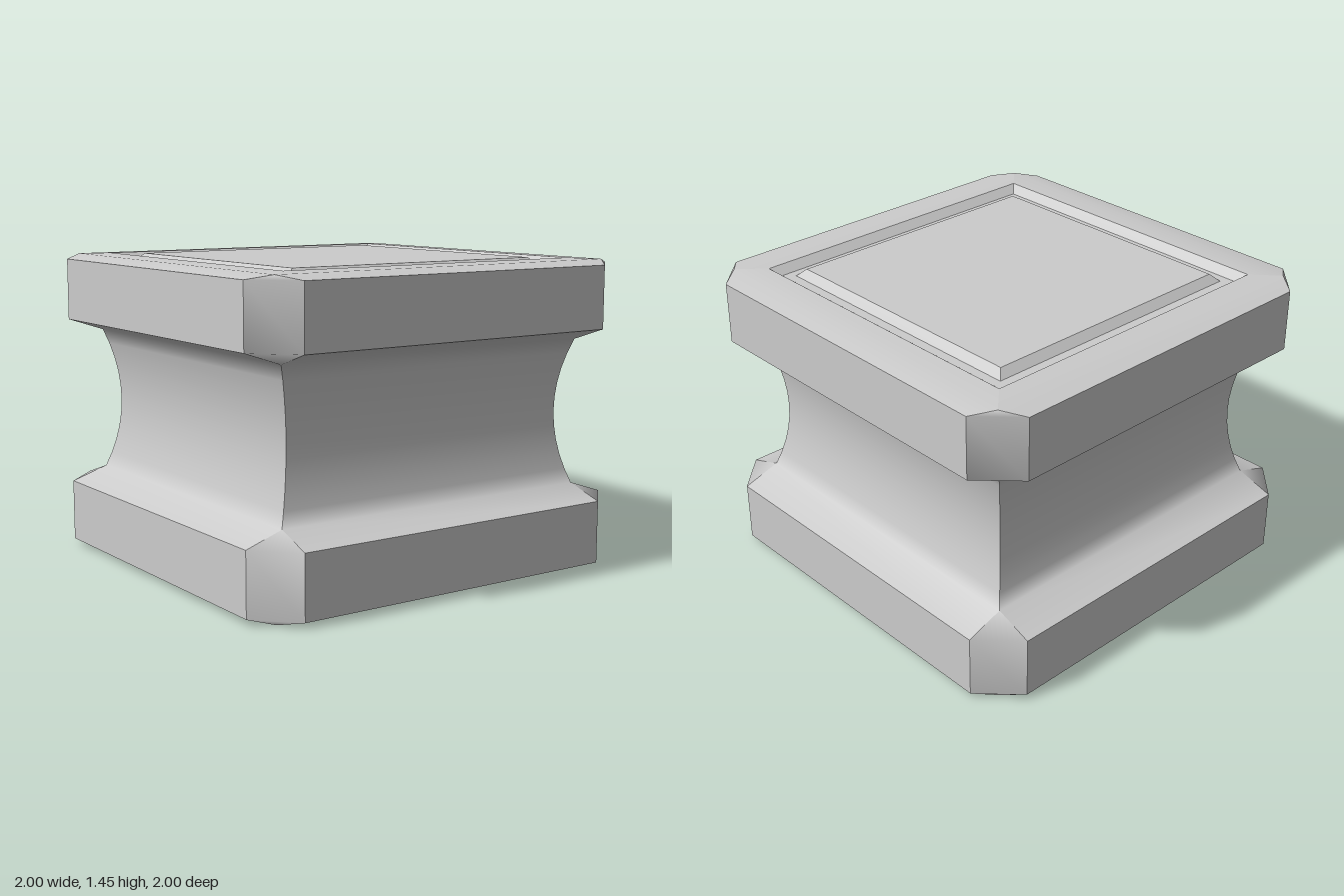
import * as THREE from 'three';
import { mergeGeometries } from 'three/addons/utils/BufferGeometryUtils.js';

const H = 1.45; // total height
const material = new THREE.MeshStandardMaterial({ color: 0xcccccc });

// Strip between paired left/right points; smooth within the strip, hard at its borders
function strip(rows) {
  const pos = [], idx = [];
  rows.forEach(([l, r], i) => {
    pos.push(...l, ...r);
    if (i) {
      const a = 2 * i - 2;
      idx.push(a, a + 2, a + 3, a, a + 3, a + 1);
    }
  });
  const g = new THREE.BufferGeometry();
  g.setAttribute('position', new THREE.Float32BufferAttribute(pos, 3));
  g.setIndex(idx);
  g.computeVertexNormals();
  return g;
}

// Profile rows are [distance from axis, height, half width of the side]
const sideStrip = rows => strip(rows.map(([r, y, c]) => [[-c, y, r], [c, y, r]]));
const cornerStrip = rows => strip(rows.map(([r, y, c]) => [[c, y, r], [r, y, c]]));
const flip = rows => rows.map(([r, y, c]) => [r, H - y, c]).reverse();

// Repeat strips around the four sides as one mesh
function around(name, strips) {
  const parts = [];
  for (let k = 0; k < 4; k++) {
    for (const s of strips) parts.push(s.clone().rotateY(k * Math.PI / 2));
  }
  const mesh = new THREE.Mesh(mergeGeometries(parts), material);
  mesh.name = name;
  return mesh;
}

export function createModel() {
  const group = new THREE.Group();
  group.name = 'squareSpool';

  const panel = [[0, H, 0], [0.66, H, 0.66]];
  const grooveInner = [[0.66, H, 0.66], [0.697, 1.415, 0.697]];
  const grooveFloor = [[0.697, 1.415, 0.697], [0.742, 1.415, 0.742]];
  const grooveOuter = [[0.742, 1.415, 0.742], [0.785, H, 0.785]];
  const rim = [[0.785, H, 0.785], [0.9, 1.446, 0.9], [1, 1.425, 0.825]];
  const face = [[1, 1.425, 0.825], [1, 1.13, 0.825]];
  const corner = [[0.9, 1.446, 0.9], [1, 1.425, 0.825], [1, 1.13, 0.825], [0.82, 1.07, 0.82]];

  // Upper and lower flanges, mirrored
  for (const [name, place] of [['upper', rows => rows], ['lower', flip]]) {
    const sides = (part, ...list) =>
      group.add(around(name + part, list.map(rows => sideStrip(place(rows)))));
    sides('Panel', panel);
    sides('Groove', grooveInner, grooveFloor, grooveOuter);
    sides('Rim', rim);
    sides('FlangeSides', face);
    group.add(around(name + 'FlangeCorners', [cornerStrip(place(corner))]));
  }

  // Concave neck, blending into the sloped flange undersides
  const neck = [[1, 1.13, 0.825]];
  const n = 10;
  for (let i = 0; i <= n; i++) {
    const t = 1 - 2 * i / n;
    const r = 0.757 + 0.063 * t * t;
    neck.push([r, H / 2 + 0.345 * t, r]);
  }
  neck.push([1, H - 1.13, 0.825]);
  group.add(around('neck', [sideStrip(neck)]));

  return group;
}
